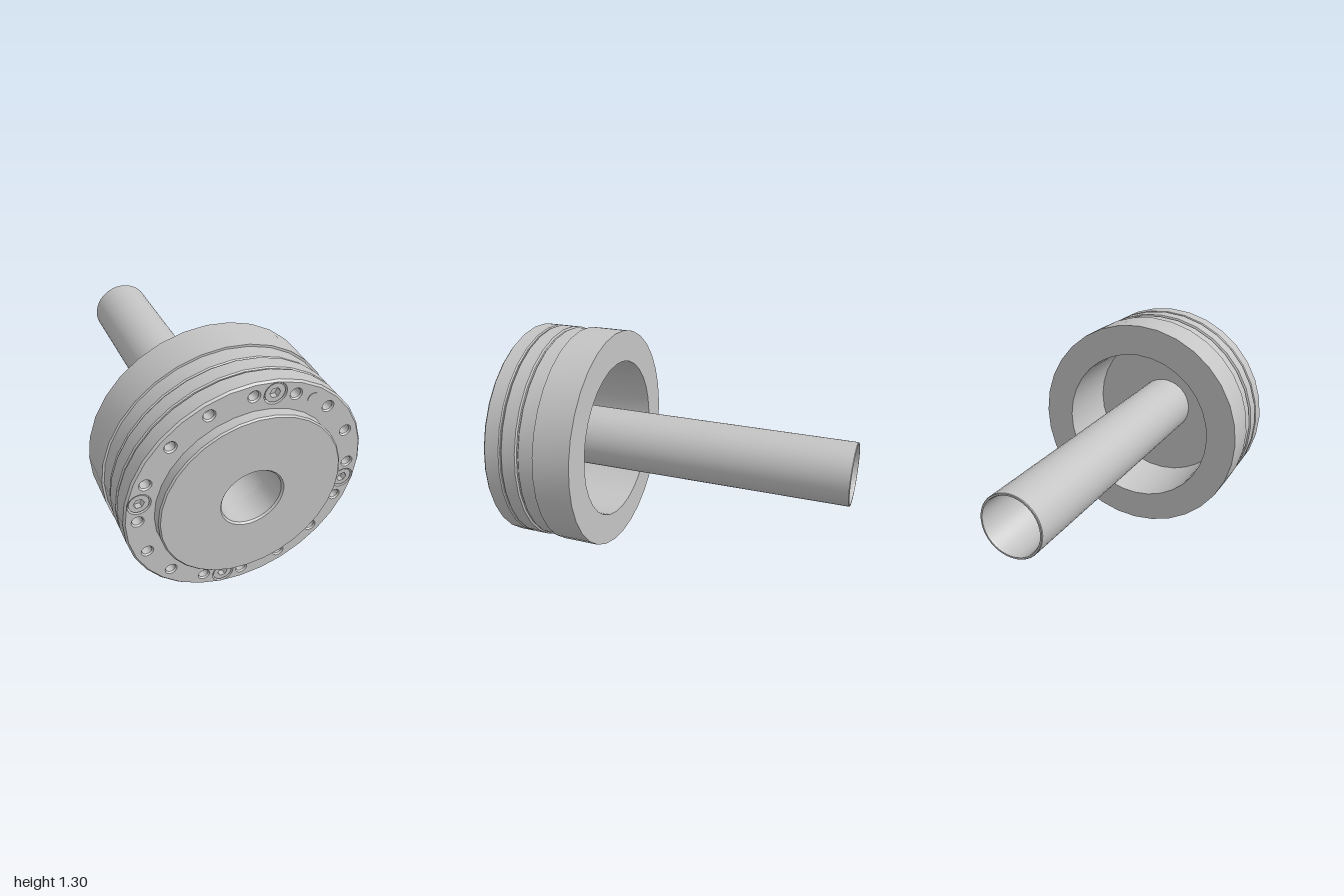
import * as THREE from 'three';
import { toCreasedNormals } from 'three/addons/utils/BufferGeometryUtils.js';

const SIDES = 32;        // sides of the large turned parts
const AXIS_Y = 0.652;    // height of the centre axis
const FACE_Z = 0.94;     // front face of the bolt ring
const BOLT_R = 0.573;    // bolt circle radius

const steel = new THREE.MeshStandardMaterial({ color: 0xc4c4c4 });
steel.name = 'steel grey';

function add(parent, name, geometry) {
  const mesh = new THREE.Mesh(geometry, steel);
  mesh.name = name;
  parent.add(mesh);
  return mesh;
}

// Turns [radius, z] points round the z axis; the surface faces out where z rises
function turned(points, sides = SIDES) {
  const g = new THREE.LatheGeometry(points.map(([r, z]) => new THREE.Vector2(r, z)), sides);
  g.rotateX(Math.PI / 2);
  return toCreasedNormals(g, 0.5);
}

function circle(r, sides, x = 0, y = 0) {
  return Array.from({ length: sides }, (_, i) => {
    const a = (i / sides) * Math.PI * 2;
    return new THREE.Vector2(x + r * Math.cos(a), y + r * Math.sin(a));
  });
}

const onBoltCircle = (degrees) => {
  const a = THREE.MathUtils.degToRad(degrees);
  return [BOLT_R * Math.cos(a), BOLT_R * Math.sin(a)];
};

export function createModel() {
  const model = new THREE.Group();
  model.name = 'flangedHub';
  const hub = new THREE.Group();
  hub.name = 'hub';
  hub.position.y = AXIS_Y;
  model.add(hub);

  // Hollow housing with two raised bands, from the cavity floor to the front edge
  add(hub, 'housing', turned([
    [0.17, 0.85], [0.47, 0.85], [0.47, 0.41], [0.652, 0.41], [0.652, 0.63],
    [0.64, 0.63], [0.64, 0.722], [0.634, 0.728], [0.634, 0.736],
    [0.645, 0.742], [0.645, 0.824], [0.639, 0.83], [0.632, 0.83], [0.632, 0.838],
    [0.639, 0.838], [0.645, 0.844], [0.645, 0.93], [0.635, FACE_Z],
  ]));

  // Raised front disc with a chamfered rim and bore
  add(hub, 'frontDisc', turned([
    [0.49, FACE_Z], [0.49, 0.992], [0.482, 1], [0.172, 1], [0.163, 0.99], [0.163, 0.84],
  ]));

  // Long open tube to the back
  add(hub, 'tube', turned([
    [0.163, 0.85], [0.163, -0.99], [0.167, -1], [0.176, -1], [0.179, -0.996], [0.179, 0.86],
  ], 40));

  // Bolt ring face, pierced for the holes and screws
  const holes = Array.from({ length: 16 }, (_, i) => onBoltCircle(i * 22.5));
  const screws = [79, 169, 259, 349].map(onBoltCircle);
  const ring = new THREE.Shape(circle(0.635, SIDES));
  ring.holes.push(new THREE.Path(circle(0.49, SIDES)));
  holes.forEach(([x, y]) => ring.holes.push(new THREE.Path(circle(0.033, 20, x, y))));
  screws.forEach(([x, y]) => ring.holes.push(new THREE.Path(circle(0.06, 24, x, y))));
  add(hub, 'boltRingFace', new THREE.ShapeGeometry(ring)).position.z = FACE_Z;

  // Countersunk holes with conical bottoms
  const holeGeo = turned([[0.033, 0], [0.026, -0.008], [0.026, -0.055], [0, -0.072]], 20);
  holes.forEach(([x, y]) => add(hub, 'boltHole', holeGeo).position.set(x, y, FACE_Z));

  // Hex socket screws sunk in counterbores
  const boreGeo = turned([[0.06, 0], [0.06, -0.035], [0, -0.035]], 24);
  const head = new THREE.Shape(circle(0.052, 24));
  head.holes.push(new THREE.Path(circle(0.028, 6)));
  const headGeo = toCreasedNormals(
    new THREE.ExtrudeGeometry(head, { depth: 0.03, bevelEnabled: false }), 0.5);
  screws.forEach(([x, y]) => {
    const screw = new THREE.Group();
    screw.name = 'socketScrew';
    screw.position.set(x, y, FACE_Z);
    hub.add(screw);
    add(screw, 'counterbore', boreGeo);
    add(screw, 'screwHead', headGeo).position.z = -0.035;
  });

  // Small locating pin
  const [px, py] = onBoltCircle(56.5);
  add(hub, 'locatingPin', turned([[0.031, -0.01], [0.031, 0.003], [0, 0.003]], 20))
    .position.set(px, py, FACE_Z);

  return model;
}
